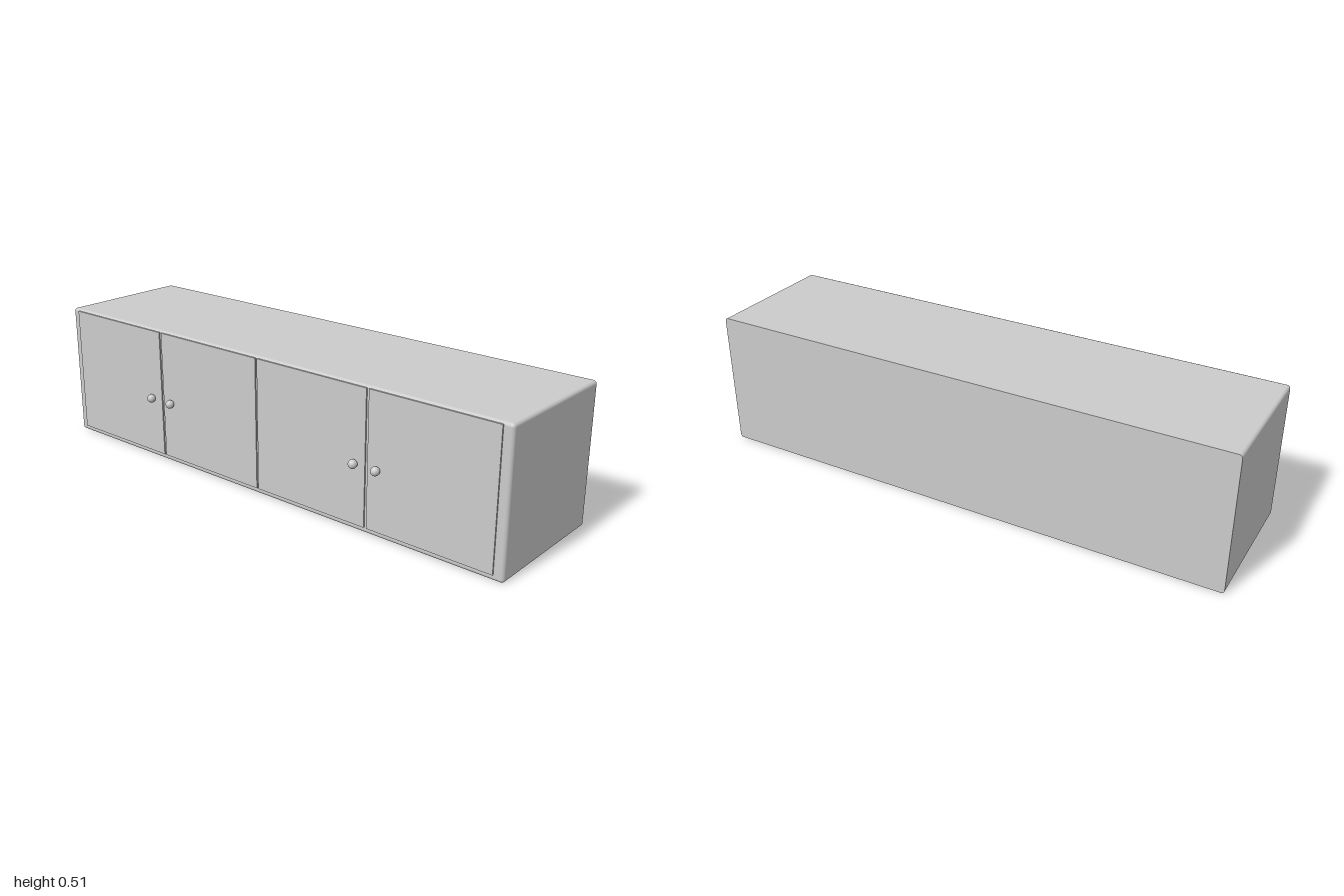
import * as THREE from 'three';
import { RoundedBoxGeometry } from 'three/addons/geometries/RoundedBoxGeometry.js';

const HEIGHT = 0.515, FRONT = 0.24, BACK = -0.275, RADIUS = 0.012;

// Box with soft edges everywhere except a flat, sharp-edged back
function cabinetGeometry() {
  const depth = FRONT - BACK + RADIUS;
  const geo = new RoundedBoxGeometry(2, HEIGHT, depth, 5, RADIUS);
  geo.translate(0, HEIGHT / 2, FRONT - depth / 2);
  const pos = geo.attributes.position, normal = geo.attributes.normal;
  for (let i = 0; i < pos.count; i += 3) {
    const corners = [i, i + 1, i + 2];
    corners.forEach((k) => pos.setZ(k, Math.max(pos.getZ(k), BACK)));
    if (corners.every((k) => pos.getZ(k) < BACK + 1e-5)) {
      corners.forEach((k) => normal.setXYZ(k, 0, 0, -1));
    }
  }
  return geo;
}

export function createModel() {
  const group = new THREE.Group();
  const material = new THREE.MeshStandardMaterial({ color: 0xcccccc });

  function add(name, geometry, x = 0, y = 0, z = 0) {
    const mesh = new THREE.Mesh(geometry, material);
    mesh.name = name;
    mesh.position.set(x, y, z);
    group.add(mesh);
  }

  add('cabinetBody', cabinetGeometry());

  // Four thin doors separated by narrow gaps
  const doorEdges = [[-0.965, -0.49], [-0.48, -0.004], [0.004, 0.476], [0.486, 0.965]];
  const doorBottom = 0.021, doorTop = 0.508, doorDepth = 0.008;
  doorEdges.forEach(([x0, x1], i) => {
    const geo = new THREE.BoxGeometry(x1 - x0, doorTop - doorBottom, doorDepth);
    add(`door${i + 1}`, geo, (x0 + x1) / 2, (doorBottom + doorTop) / 2, 0.245 - doorDepth / 2);
  });

  // One round knob per door
  const knob = new THREE.SphereGeometry(0.016, 32, 20);
  [-0.535, -0.432, 0.437, 0.528].forEach((x, i) => add(`knob${i + 1}`, knob, x, 0.243, 0.259));

  return group;
}
